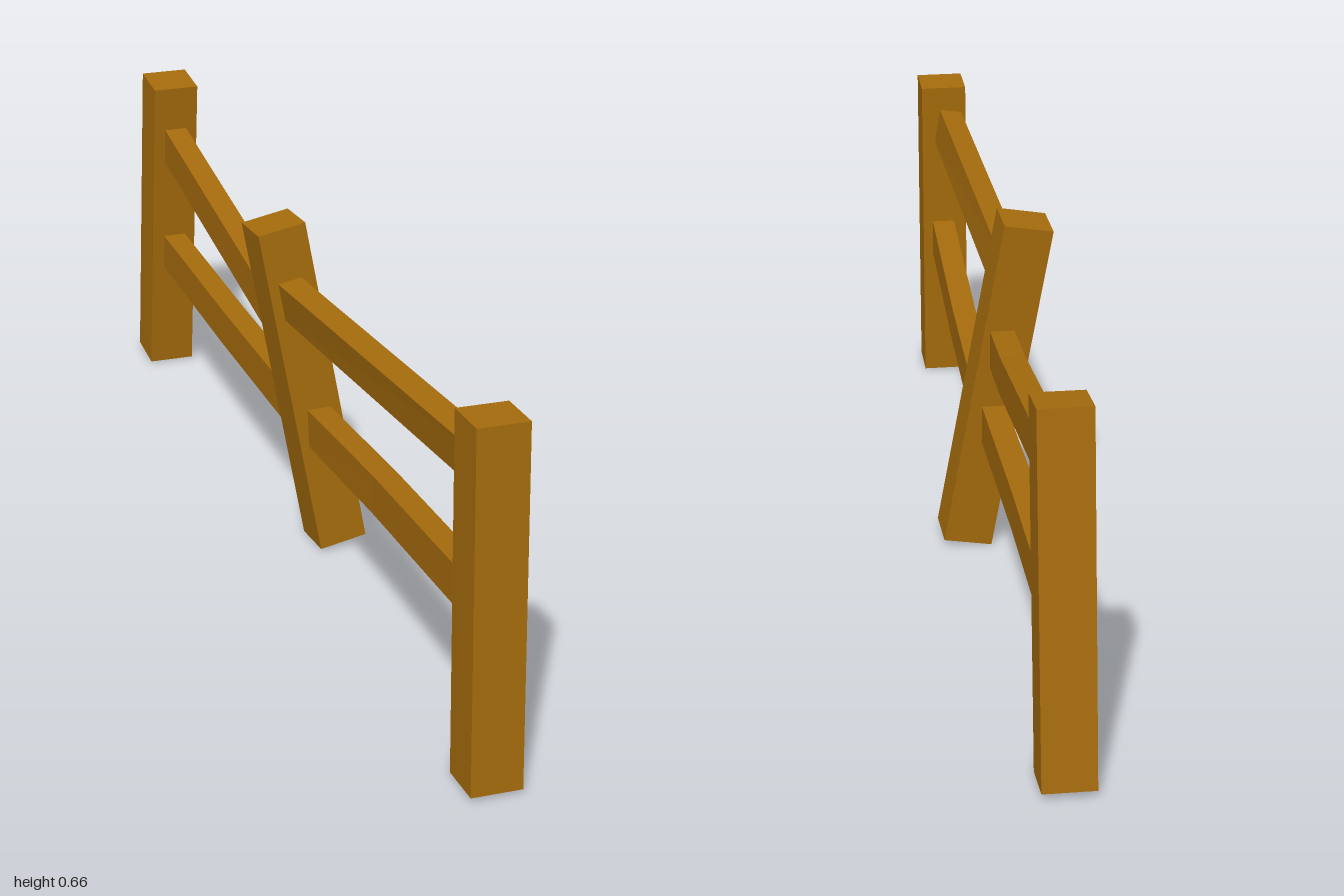
import * as THREE from 'three';

const wood = new THREE.MeshStandardMaterial({ color: 0xa66c0d, flatShading: true });

// Square post running from its bottom centre to its top centre
function post(name, bottom, top, yaw = 0) {
  const a = new THREE.Vector3(...bottom), b = new THREE.Vector3(...top);
  const axis = b.clone().sub(a);
  const mesh = new THREE.Mesh(new THREE.BoxGeometry(0.093, axis.length(), 0.093), wood);
  mesh.position.copy(a).add(b).multiplyScalar(0.5);
  mesh.quaternion.setFromUnitVectors(new THREE.Vector3(0, 1, 0), axis.normalize());
  mesh.rotateY(yaw);
  mesh.name = name;
  return mesh;
}

// Rail swept through stations [x, y, z, roll], listed from back to front
function rail(name, stations, width = 0.046, height = 0.074) {
  const n = stations.length - 1;
  const geo = new THREE.BoxGeometry(width, height, n, 1, 1, n);
  const p = geo.attributes.position;
  for (let i = 0; i < p.count; i++) {
    const [x, y, z, roll] = stations[Math.round(p.getZ(i) + n / 2)];
    const u = p.getX(i), v = p.getY(i), c = Math.cos(roll), s = Math.sin(roll);
    p.setXYZ(i, x + u * c - v * s, y + u * s + v * c, z);
  }
  geo.computeVertexNormals();
  const mesh = new THREE.Mesh(geo, wood);
  mesh.name = name;
  return mesh;
}

export function createModel() {
  const fence = new THREE.Group();
  fence.name = 'fence';
  fence.add(
    // Leaning posts
    post('frontPost', [-0.0015, 0.007, 0.953], [0.0035, 0.66, 0.924]),
    post('middlePost', [0.056, 0.012, 0.026], [-0.056, 0.656, -0.006], 0.04),
    post('backPost', [-0.0015, 0.009, -0.951], [0.0015, 0.656, -0.885]),
    // Rails of the front bay
    rail('frontUpperRail', [[-0.036, 0.519, 0.01, 0.17], [-0.005, 0.571, 0.91, 0.14]]),
    rail('frontLowerRail', [
      [0.013, 0.257, 0.02, 0.02], [0.012, 0.287, 0.42, 0], [0.004, 0.319, 0.92, 0]]),
    // Rails of the back bay
    rail('backUpperRail', [
      [0.002, 0.527, -0.89, 0], [-0.005, 0.433, -0.22, 0], [-0.01, 0.41, -0.01, 0]]),
    rail('backLowerRail', [
      [0.002, 0.273, -0.9, 0], [0.001, 0.266, -0.45, 0], [0.006, 0.259, 0, 0]]),
  );
  return fence;
}
